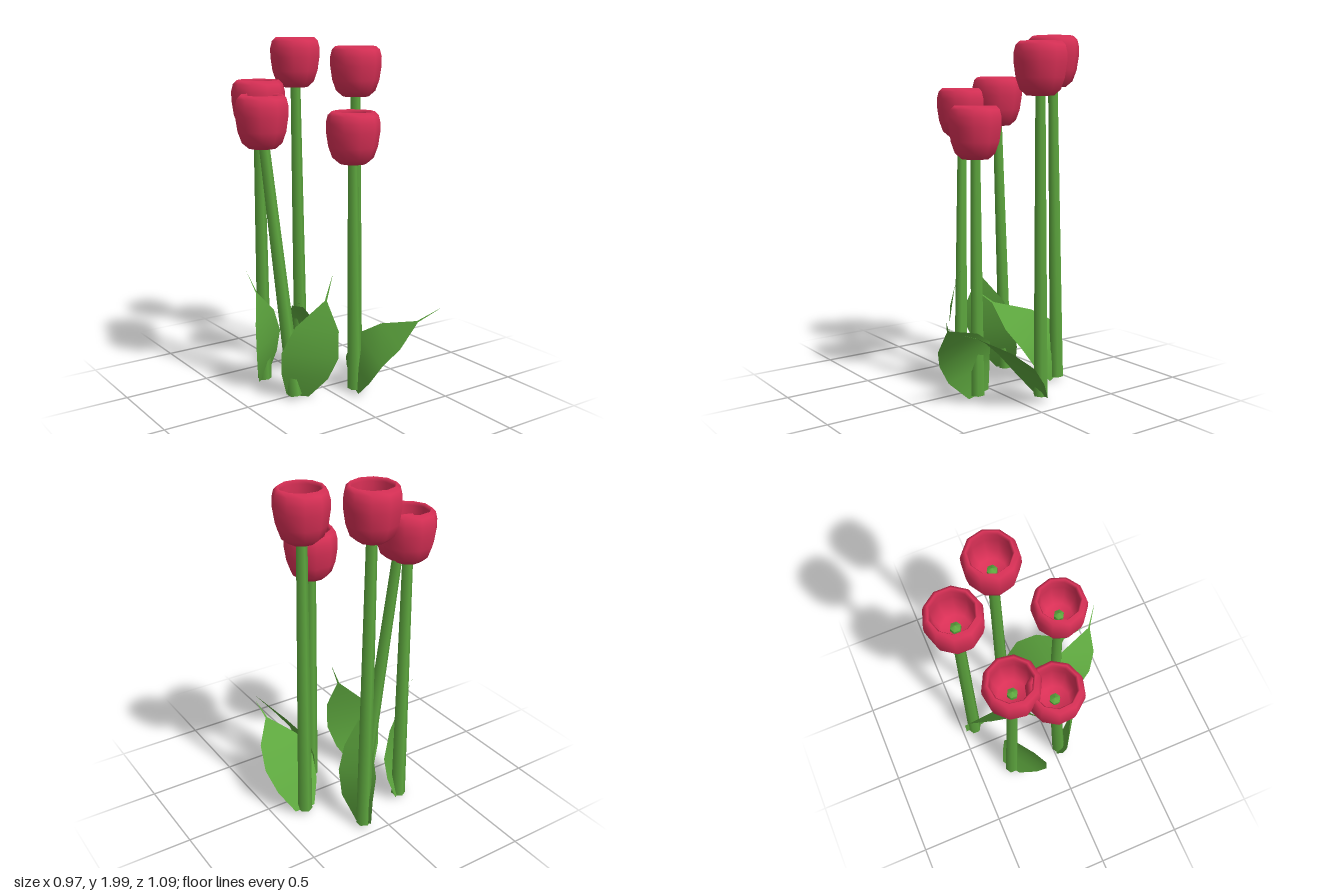
import * as THREE from 'three';

const petalRed = new THREE.MeshStandardMaterial({ name: 'petalRed', color: 0xd93056 });
const stemGreen = new THREE.MeshStandardMaterial({ name: 'stemGreen', color: 0x5da63e });
const leafGreen = new THREE.MeshStandardMaterial({ name: 'leafGreen', color: 0x5da63e, side: THREE.DoubleSide });

// foot of each stem, and centre of the underside of its flower
const FLOWERS = [
  { foot: [0.12, 0.03, -0.42], head: [0.08, 1.715, -0.402] },
  { foot: [0.33, 0.03, -0.13], head: [0.312, 1.668, -0.125] },
  { foot: [-0.217, 0.02, -0.295], head: [-0.255, 1.49, -0.258] },
  { foot: [-0.215, 0.03, 0.035], head: [-0.343, 1.425, -0.07] },
  { foot: [0.12, 0.03, 0.148], head: [0.098, 1.332, 0.145] },
];

// cup-shaped bloom: outer wall, rim, inner wall and floor
const CUP = [
  [0, 0], [0.075, 0.002], [0.113, 0.034], [0.135, 0.095], [0.147, 0.175],
  [0.147, 0.225], [0.137, 0.265], [0.116, 0.285], [0.106, 0.265],
  [0.112, 0.2], [0.105, 0.12], [0.075, 0.075], [0, 0.065],
].map(([r, y]) => new THREE.Vector2(r, y));

// leaf blades: centre line from base to tip, plus the crosswise direction
const HALF_WIDTHS = [0.063, 0.13, 0.158, 0.12, 0.006, 0.0005];
const archedLeaf = {
  line: [[0.12, 0.03, 0.14], [0.115, 0.16, 0.2], [0.148, 0.285, 0.25], [0.22, 0.38, 0.345], [0.31, 0.48, 0.465], [0.41, 0.56, 0.54]],
  across: [-0.17, -0.32, 0.93],
};
const uprightLeaf = {
  line: [[-0.2, 0.02, 0.04], [-0.19, 0.15, 0.1], [-0.18, 0.28, 0.135], [-0.145, 0.435, 0.155], [-0.09, 0.59, 0.16], [-0.035, 0.725, 0.145]],
  across: [0.83, -0.1, 0.55],
};
const straightLeaf = {
  line: [[0.33, 0.03, -0.13], [0.33, 0.14, -0.05], [0.33, 0.25, 0.04], [0.33, 0.345, 0.16], [0.33, 0.42, 0.3], [0.33, 0.47, 0.43]],
  across: [1, 0, 0],
};

// the same blade mirrored about a vertical plane and moved back
function mirrored(leaf, planeX, shiftZ) {
  return {
    line: leaf.line.map(([x, y, z]) => [2 * planeX - x, y, z + shiftZ]),
    across: [-leaf.across[0], leaf.across[1], leaf.across[2]],
  };
}

function makeLeaf({ line, across }) {
  const side = new THREE.Vector3(...across).normalize();
  const positions = [];
  const index = [];
  line.forEach((p, i) => {
    for (const s of [-1, 1]) {
      const v = new THREE.Vector3(...p).addScaledVector(side, s * HALF_WIDTHS[i]);
      positions.push(v.x, v.y, v.z);
    }
    if (i > 0) {
      const a = 2 * (i - 1);
      index.push(a, a + 1, a + 2, a + 1, a + 3, a + 2);
    }
  });
  const geometry = new THREE.BufferGeometry();
  geometry.setAttribute('position', new THREE.Float32BufferAttribute(positions, 3));
  geometry.setIndex(index);
  geometry.computeVertexNormals();
  const mesh = new THREE.Mesh(geometry, leafGreen);
  mesh.name = 'leaf';
  return mesh;
}

function makeFlower({ foot, head }, i) {
  const flower = new THREE.Group();
  flower.name = 'flower';

  const bloom = new THREE.Mesh(new THREE.LatheGeometry(CUP, 10), petalRed);
  bloom.name = 'bloom';
  bloom.position.set(...head);
  bloom.rotation.y = i * 0.23;
  flower.add(bloom);

  // leaning six-sided stem that ends in a small point inside the bloom
  const start = new THREE.Vector3(...foot);
  const end = new THREE.Vector3(...head).add(new THREE.Vector3(0, 0.1, 0));
  const length = start.distanceTo(end);
  const stem = new THREE.Group();
  stem.name = 'stem';
  stem.position.copy(start);
  stem.quaternion.setFromUnitVectors(new THREE.Vector3(0, 1, 0), end.sub(start).normalize());
  const stalk = new THREE.Mesh(new THREE.CylinderGeometry(0.028, 0.041, length, 6), stemGreen);
  stalk.name = 'stalk';
  stalk.position.y = length / 2;
  const tip = new THREE.Mesh(new THREE.ConeGeometry(0.028, 0.02, 6, 1, true), stemGreen);
  tip.name = 'stemTip';
  tip.position.y = length + 0.01;
  stem.add(stalk, tip);
  flower.add(stem);
  return flower;
}

export function createModel() {
  const model = new THREE.Group();
  model.name = 'flowers';
  FLOWERS.forEach((f, i) => model.add(makeFlower(f, i)));
  [
    straightLeaf,
    archedLeaf, mirrored(archedLeaf, 0.12, -0.56),
    uprightLeaf, mirrored(uprightLeaf, -0.21, -0.34),
  ].forEach((leaf) => model.add(makeLeaf(leaf)));
  return model;
}
